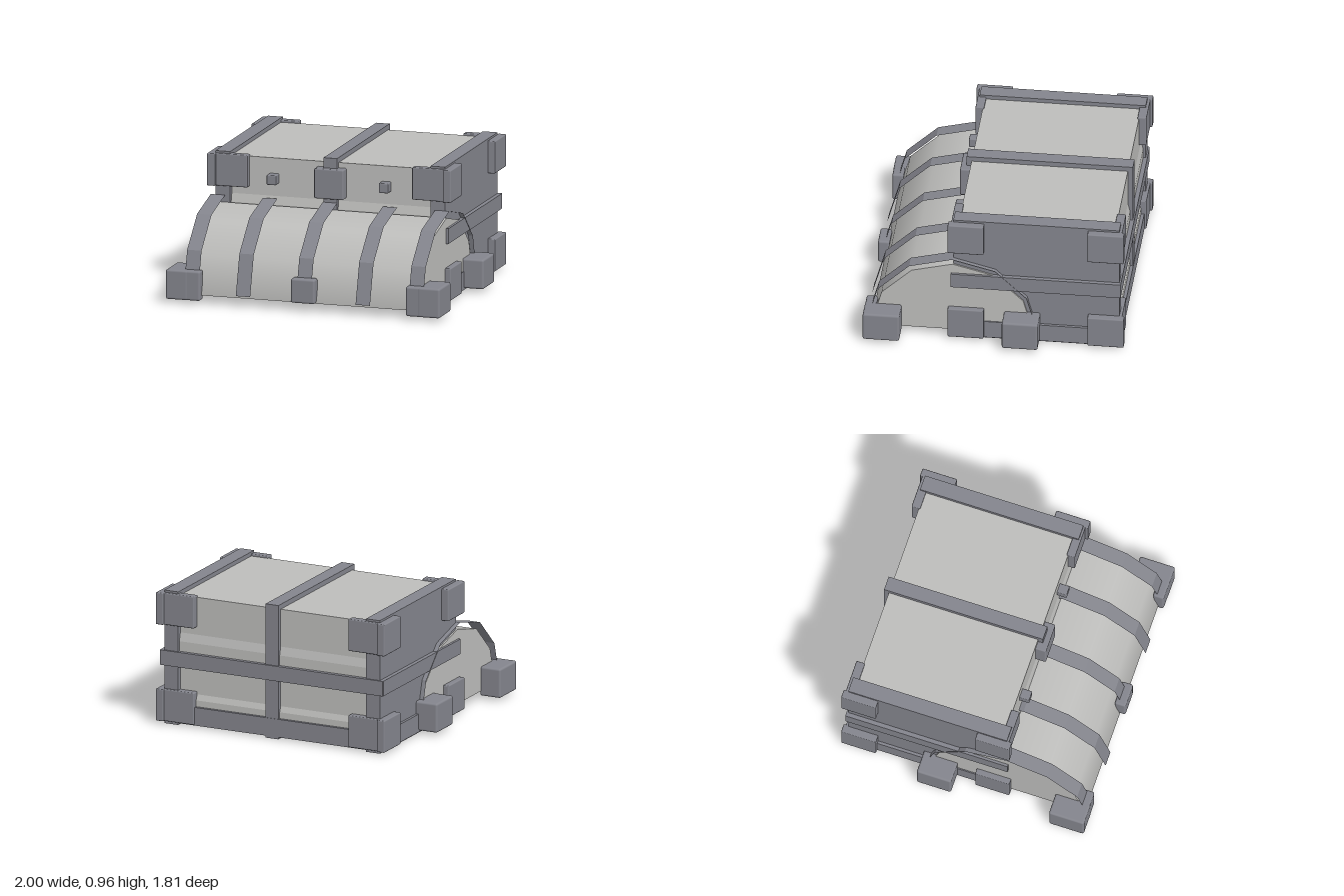
import * as THREE from 'three';
import { RoundedBoxGeometry } from 'three/addons/geometries/RoundedBoxGeometry.js';

const panelGrey = new THREE.MeshStandardMaterial({ color: 0xbdbdbb });
panelGrey.name = 'panelGrey';
const bandGrey = new THREE.MeshStandardMaterial({ color: 0x84858d, side: THREE.DoubleSide });
bandGrey.name = 'bandGrey';

export function createModel() {
  const group = new THREE.Group();
  const add = (name, geometry, material) => {
    const mesh = new THREE.Mesh(geometry, material);
    mesh.name = name;
    group.add(mesh);
    return mesh;
  };
  // Box given by its limits on each axis, optionally with softened edges
  const box = (name, [x0, x1], [y0, y1], [z0, z1], radius = 0) => {
    const size = [x1 - x0, y1 - y0, z1 - z0];
    const geometry = radius
      ? new RoundedBoxGeometry(...size, 2, radius)
      : new THREE.BoxGeometry(...size);
    geometry.translate((x0 + x1) / 2, (y0 + y1) / 2, (z0 + z1) / 2);
    return add(name, geometry, bandGrey);
  };
  const span = (s, a, b) => (s > 0 ? [a, b] : [-b, -a]);

  // Main body with shallow stepped front and back panels
  const half = [[0.56, 0.065], [0.56, 0.19], [0.545, 0.23], [0.545, 0.42],
    [0.56, 0.5], [0.56, 0.6], [0.545, 0.66], [0.545, 0.93]];
  const outline = [...half, ...half.map(([d, y]) => [-d, y]).reverse()];
  const bodyShape = new THREE.Shape(outline.map(([d, y]) => new THREE.Vector2(d, y)));
  const body = new THREE.ExtrudeGeometry(bodyShape, { depth: 1.6, bevelEnabled: false });
  body.translate(0, 0, -0.8).rotateY(Math.PI / 2).translate(0, 0, -0.295);
  add('body', body, panelGrey);

  // Upright bands: two end slabs and one in the middle
  box('middleBand', [-0.05, 0.05], [0, 0.965], [-0.875, 0.285]);
  for (const s of [1, -1]) {
    const side = s > 0 ? 'left' : 'right';
    box(side + 'EndSlab', span(s, 0.73, 0.838), [0, 0.96], [-0.873, 0.285]);
    box(side + 'WaistRail', span(s, 0.82, 0.868), [0.42, 0.528], [-0.88, 0.3]);
    box(side + 'BaseRail', span(s, 0.82, 0.858), [0.015, 0.145], [-0.87, 0.28]);

    // Corner plates wrapping each corner of the body
    for (const [y0, y1] of [[0.02, 0.25], [0.715, 0.945]]) {
      box(side + 'FrontCornerSidePlate', span(s, 0.83, 0.89), [y0, y1], [0.07, 0.32], 0.008);
      box(side + 'FrontCornerPlate', span(s, 0.6, 0.86), [y0, y1], [0.24, 0.3], 0.008);
      box(side + 'BackCornerSidePlate', span(s, 0.83, 0.89), [y0, y1], [-0.908, -0.655], 0.008);
      box(side + 'BackCornerPlate', span(s, 0.6, 0.86), [y0, y1], [-0.892, -0.83], 0.008);
    }

    // Small knob on the upper front
    box(side + 'Knob', span(s, s > 0 ? 0.363 : 0.385, s > 0 ? 0.432 : 0.455),
      [0.75, 0.82], [0.24, 0.32], 0.008);

    // Blocks at the corners of the arched lid
    box(side + 'LidFrontBlock', span(s, 0.84, 1), [0.025, 0.235], [0.645, 0.9], 0.015);
    box(side + 'LidFrontPlate', span(s, 0.75, 0.98), [0.025, 0.235], [0.82, 0.898], 0.015);
    box(side + 'LidBackBlock', span(s, 0.8, 1), [0.025, 0.235], [-0.32, -0.07], 0.015);
  }
  box('backWaistRail', [-0.865, 0.865], [0.42, 0.528], [-0.885, -0.83]);
  box('backBaseRail', [-0.85, 0.85], [0.015, 0.145], [-0.878, -0.83]);
  box('frontBaseRail', [-0.85, 0.85], [0.02, 0.145], [0.24, 0.29]);
  box('latch', [-0.107, 0.107], [0.68, 0.893], [0.24, 0.325], 0.01);
  box('lidClasp', [-0.087, 0.087], [0.062, 0.235], [0.82, 0.9], 0.015);

  // Arched lid: six-sided half barrel lying along x
  const arch = (length, ry, rz) => new THREE.CylinderGeometry(1, 1, length, 6, 1, true, 0, Math.PI)
    .rotateZ(Math.PI / 2).scale(1, ry, rz);
  add('lidBarrel', arch(1.7, 0.54, 0.57).translate(0, 0.06, 0.29), panelGrey);
  for (const s of [1, -1]) {
    const cap = new THREE.CircleGeometry(1, 6, 0, Math.PI)
      .rotateY(s * Math.PI / 2).scale(1, 0.54, 0.57).translate(s * 0.85, 0.06, 0.29);
    add(s > 0 ? 'lidLeftEnd' : 'lidRightEnd', cap, panelGrey);
  }
  add('lidUnderside', new THREE.PlaneGeometry(1.7, 1.14).rotateX(Math.PI / 2)
    .translate(0, 0.06, 0.29), panelGrey);

  // Thin faceted straps over the lid
  for (const x of [-0.818, -0.437, 0, 0.437, 0.818]) {
    const strap = arch(0.105, 0.57, 0.6).toNonIndexed();
    strap.computeVertexNormals();
    add('lidStrap', strap.translate(x, 0.08, 0.29), bandGrey);
  }
  return group;
}
